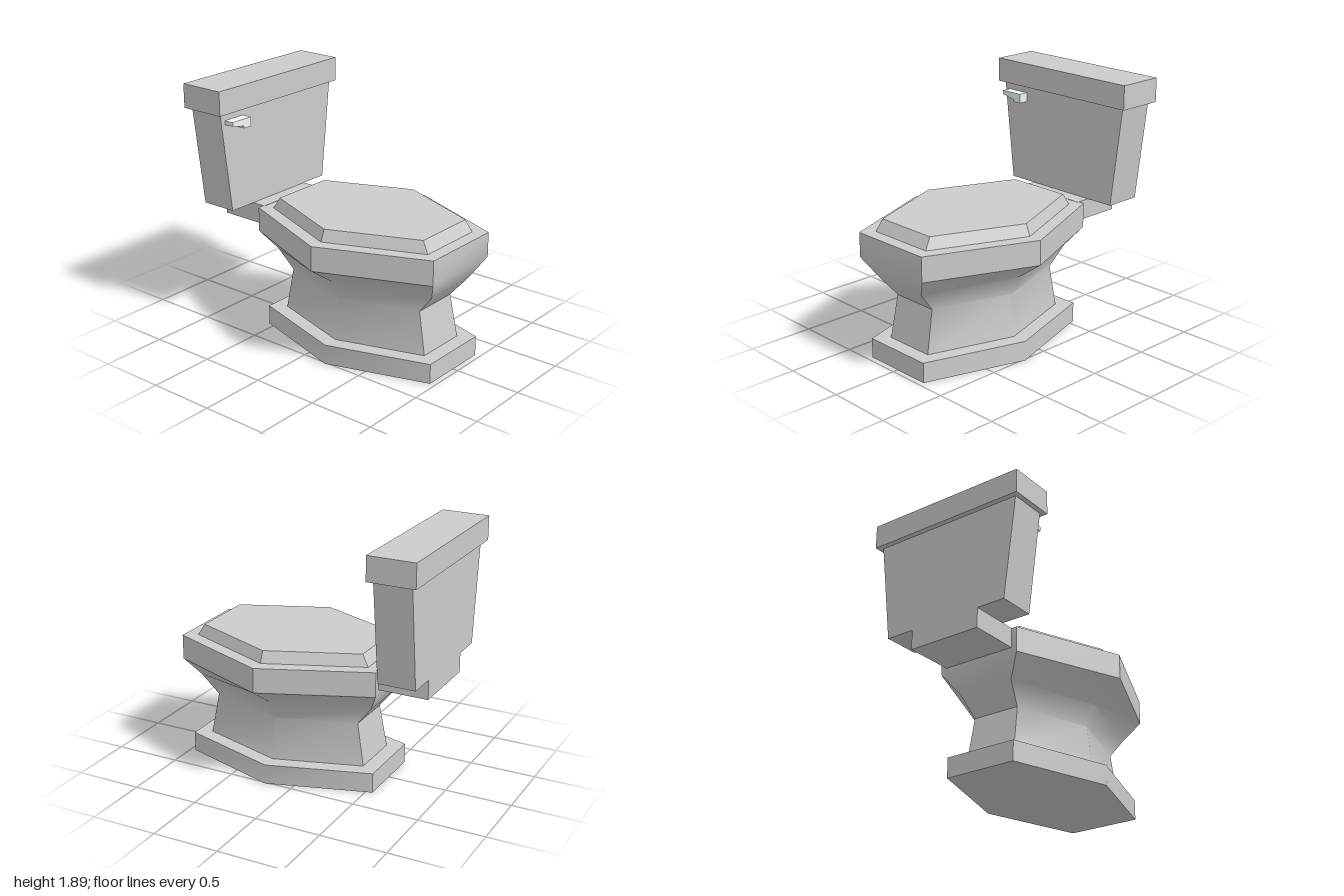
import * as THREE from 'three';
import { toCreasedNormals } from 'three/addons/utils/BufferGeometryUtils.js';

const grey = new THREE.MeshStandardMaterial({ color: 0xcccccc });
const pale = new THREE.MeshStandardMaterial({ color: 0xeef8f5 });

// Elongated hexagon: half width at the middle, half width at the ends, front and back z
function hexRing(y, side, end, front, back) {
  const mid = 0.205;
  return [[side, y, mid], [end, y, front], [-end, y, front],
    [-side, y, mid], [-end, y, back], [end, y, back]];
}

function rectRing(y, half, front, back) {
  return [[half, y, back], [half, y, front], [-half, y, front], [-half, y, back]];
}

// Closed solid through rings stacked from bottom to top
function loft(rings) {
  const n = rings[0].length;
  const index = [];
  for (let r = 0; r < rings.length - 1; r++) {
    for (let i = 0; i < n; i++) {
      const a = r * n + i;
      const b = r * n + (i + 1) % n;
      index.push(a, a + n, b, b, a + n, b + n);
    }
  }
  const top = (rings.length - 1) * n;
  for (let i = 1; i < n - 1; i++) {
    index.push(0, i, i + 1, top, top + i + 1, top + i);
  }
  const geometry = new THREE.BufferGeometry();
  geometry.setAttribute('position', new THREE.Float32BufferAttribute(rings.flat(2), 3));
  geometry.setIndex(index);
  return toCreasedNormals(geometry, THREE.MathUtils.degToRad(35));
}

function box(half, y0, y1, front, back) {
  return new THREE.BoxGeometry(half * 2, y1 - y0, front - back)
    .translate(0, (y0 + y1) / 2, (front + back) / 2);
}

export function createModel() {
  const model = new THREE.Group();
  model.name = 'toilet';
  const add = (name, geometry, material = grey) => {
    const mesh = new THREE.Mesh(geometry, material);
    mesh.name = name;
    model.add(mesh);
  };

  // Foot plate
  add('base', loft([
    hexRing(0, 0.515, 0.28, 0.96, -0.55),
    hexRing(0.15, 0.515, 0.28, 0.96, -0.55),
  ]));

  // Waisted pedestal flaring out into the bowl and rim
  add('bowl', loft([
    hexRing(0.15, 0.4, 0.2, 0.85, -0.435),
    hexRing(0.47, 0.365, 0.185, 0.79, -0.38),
    hexRing(0.62, 0.44, 0.22, 0.915, -0.5),
    hexRing(0.77, 0.655, 0.33, 1, -0.585),
    hexRing(0.955, 0.655, 0.33, 1, -0.585),
  ]));

  // Bevelled seat cover
  add('seatLid', loft([
    hexRing(0.955, 0.55, 0.265, 0.905, -0.495),
    hexRing(1.04, 0.515, 0.25, 0.855, -0.445),
  ]));

  // Shelf joining bowl and tank
  add('tankShelf', box(0.285, 0.81, 0.957, -0.57, -0.96));

  // Tapered tank with its cover
  add('tank', loft([
    rectRing(0.957, 0.505, -0.68, -0.96),
    rectRing(1.71, 0.597, -0.68, -0.96),
  ]));
  add('tankLid', box(0.635, 1.71, 1.89, -0.645, -1));

  // Flush handle on the front of the tank
  const outline = [[-0.55, 1.655], [-0.55, 1.625], [-0.435, 1.602],
    [-0.435, 1.585], [-0.365, 1.585], [-0.365, 1.655]];
  const shape = new THREE.Shape(outline.map(([x, y]) => new THREE.Vector2(x, y)));
  add('flushHandle', new THREE.ExtrudeGeometry(shape, { depth: 0.075, bevelEnabled: false })
    .translate(0, 0, -0.68), pale);

  return model;
}
